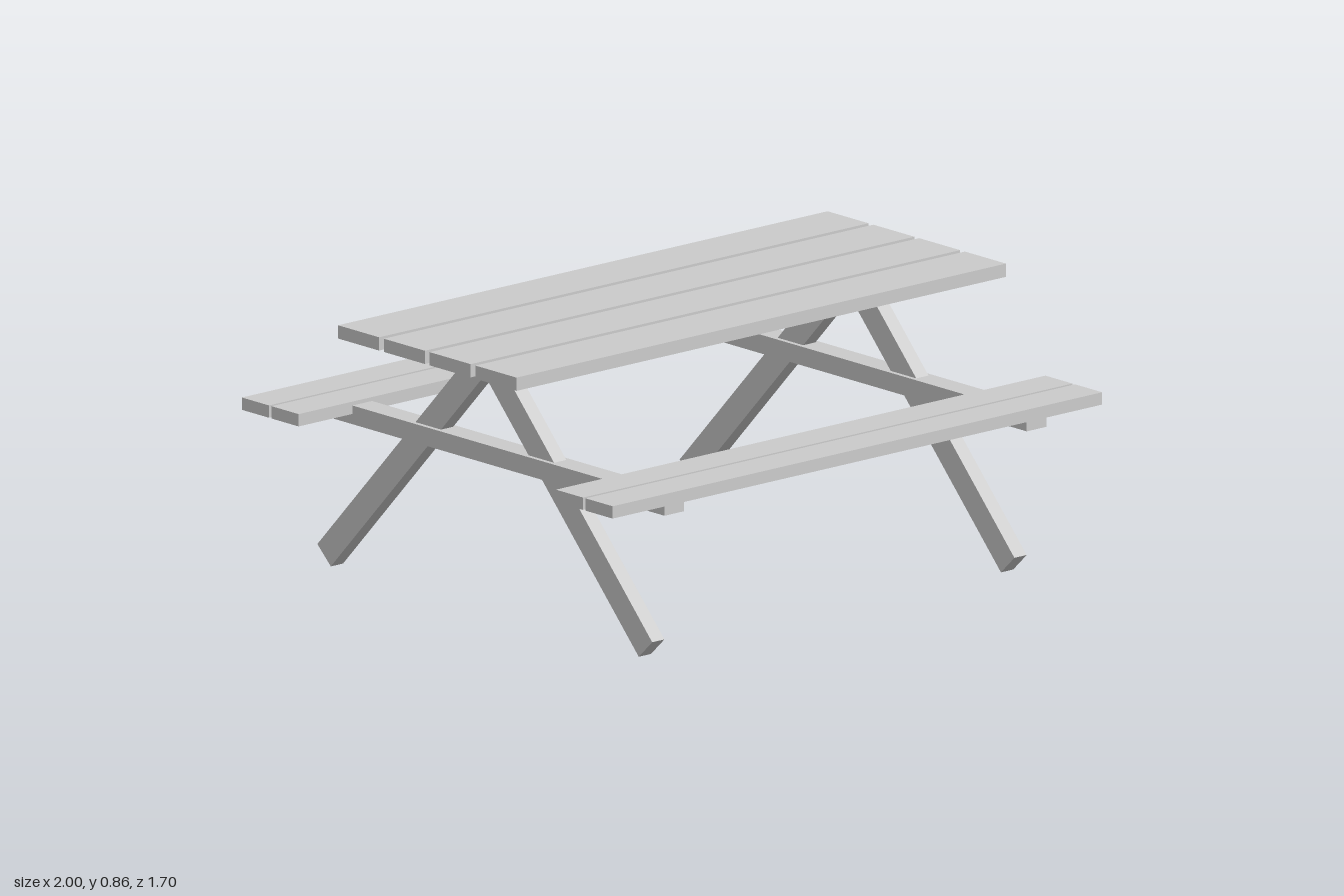
import * as THREE from 'three';

export function createModel() {
  const table = new THREE.Group();
  table.name = 'picnicTable';
  const wood = new THREE.MeshStandardMaterial({ color: 0xcccccc });
  wood.name = 'pale grey wood';

  // Adds one square-cut board
  const board = (name, size, position, tilt = 0) => {
    const mesh = new THREE.Mesh(new THREE.BoxGeometry(...size), wood);
    mesh.name = name;
    mesh.position.set(...position);
    mesh.rotation.x = tilt;
    table.add(mesh);
  };

  for (const side of [1, -1]) {
    const end = side > 0 ? 'front' : 'back';

    // Table top: two planks each side of the middle gap
    for (const z of [0.105, 0.315])
      board(end + 'TopPlank', [2, 0.042, 0.188], [0, 0.844, side * z]);

    // Bench: two planks
    for (const z of [0.652, 0.788])
      board(end + 'SeatPlank', [2, 0.039, 0.124], [0, 0.528, side * z]);

    // Slanted legs, crossing at the top of each frame
    for (const x of [0.74, -0.74])
      board(end + 'Leg', [0.05, 1.051, 0.085], [x, 0.4115, side * 0.376],
        -side * Math.atan2(0.722, 0.764));
  }

  // Cross beams carrying the benches
  for (const x of [0.74, -0.74])
    board('crossBeam', [0.08, 0.059, 1.682], [x, 0.5055, 0]);

  return table;
}
